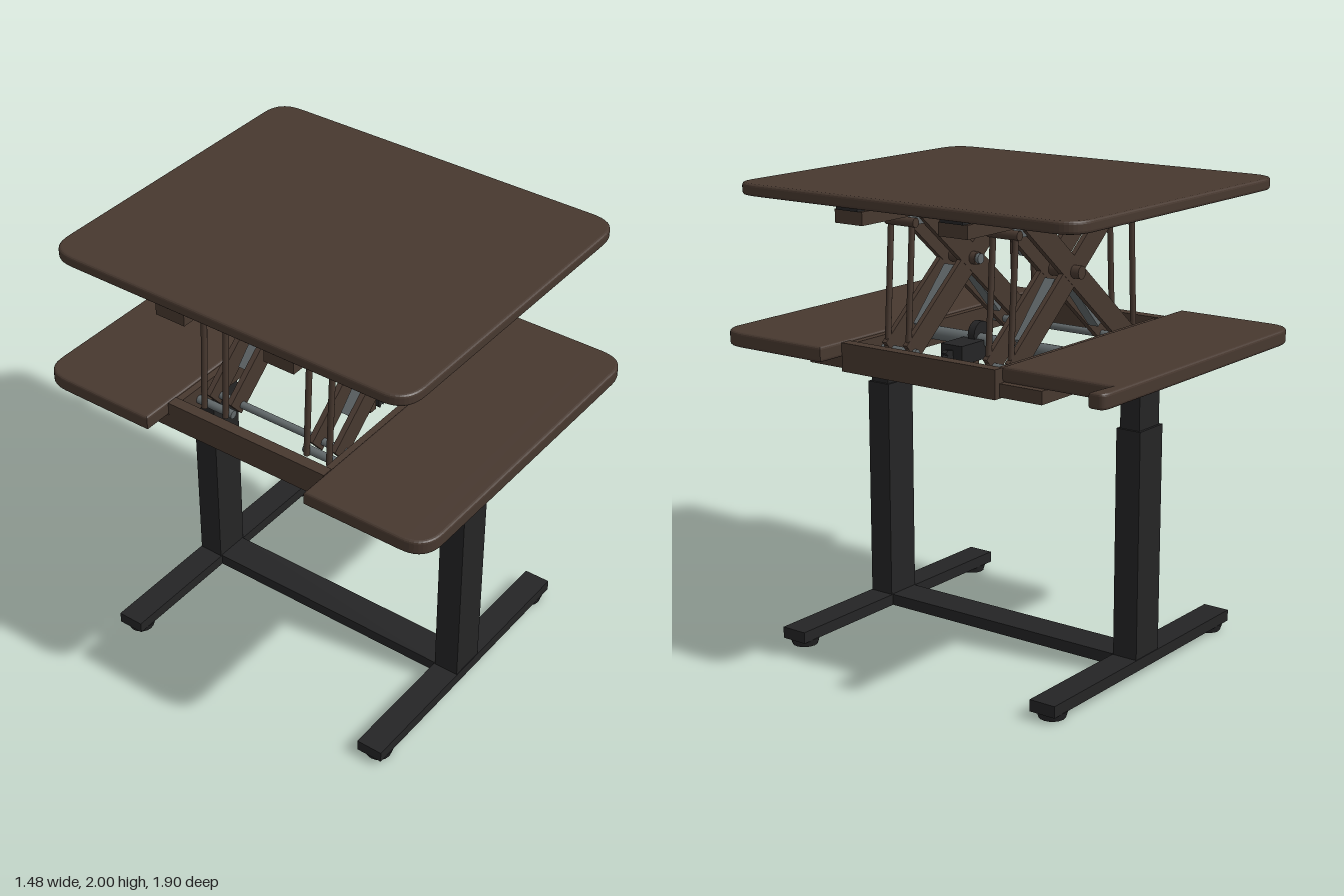
import * as THREE from 'three';

const mat = (name, color, extra = {}) => {
  const m = new THREE.MeshStandardMaterial({ color, ...extra });
  m.name = name;
  return m;
};

export function createModel() {
  const group = new THREE.Group();
  const brown = mat('brown', 0x47382f);
  const dark = mat('charcoal', 0x242425);
  const grey = mat('steelGrey', 0x61686a);

  const add = (name, geo, m, x = 0, y = 0, z = 0) => {
    const mesh = new THREE.Mesh(geo, m);
    mesh.name = name;
    mesh.position.set(x, y, z);
    group.add(mesh);
    return mesh;
  };
  // Box given by its extents
  const box = (name, m, x0, x1, y0, y1, z0, z1) =>
    add(name, new THREE.BoxGeometry(x1 - x0, y1 - y0, z1 - z0), m, (x0 + x1) / 2, (y0 + y1) / 2, (z0 + z1) / 2);
  // Cylinder between two points
  const rod = (name, m, a, b, r, r2 = r) => {
    const p = new THREE.Vector3(...a), q = new THREE.Vector3(...b);
    const mesh = add(name, new THREE.CylinderGeometry(r2, r, p.distanceTo(q), 16), m);
    mesh.position.copy(p).add(q).multiplyScalar(0.5);
    mesh.quaternion.setFromUnitVectors(new THREE.Vector3(0, 1, 0), q.sub(p).normalize());
    return mesh;
  };
  // Flat bar in the xy plane
  const bar = (name, m, x0, y0, x1, y1, width, z, depth) => {
    const mesh = add(name, new THREE.BoxGeometry(Math.hypot(x1 - x0, y1 - y0), width, depth), m,
      (x0 + x1) / 2, (y0 + y1) / 2, z);
    mesh.rotation.z = Math.atan2(y1 - y0, x1 - x0);
    return mesh;
  };
  // Horizontal slab from an outline in (x, -z), with softened edges
  const slab = (name, shape, y0, y1) => {
    const b = 0.012;
    const geo = new THREE.ExtrudeGeometry(shape, {
      depth: y1 - y0 - 2 * b, bevelThickness: b, bevelSize: b, bevelOffset: -b, bevelSegments: 3, curveSegments: 10,
    });
    geo.rotateX(-Math.PI / 2);
    return add(name, geo, brown, 0, y0 + b, 0);
  };

  // Raised worktop
  const W = 0.74, L = 0.85, r = 0.12;
  const top = new THREE.Shape();
  top.moveTo(-W + r, -L).lineTo(W - r, -L).quadraticCurveTo(W, -L, W, -L + r);
  top.lineTo(W, L - r).quadraticCurveTo(W, L, W - r, L);
  top.lineTo(-W + r, L).quadraticCurveTo(-W, L, -W, L - r);
  top.lineTo(-W, -L + r).quadraticCurveTo(-W, -L, -W + r, -L);
  slab('worktop', top, 1.95, 2);

  // Lower front board
  const front = new THREE.Shape();
  front.moveTo(-W, -0.39).lineTo(-W, -0.95 + r).quadraticCurveTo(-W, -0.95, -W + r, -0.95);
  front.lineTo(W - r, -0.95).quadraticCurveTo(W, -0.95, W, -0.95 + r).lineTo(W, -0.39).closePath();
  slab('frontBoard', front, 1.31, 1.375);

  // Lower back board, with the corner cut out behind a narrow lip
  const back = new THREE.Shape();
  back.moveTo(-W, 0.39).lineTo(0.56, 0.39).lineTo(0.56, 0.895).lineTo(0.69, 0.88);
  back.lineTo(0.69, 0.92).quadraticCurveTo(0.69, 0.95, 0.64, 0.95);
  back.lineTo(-W + r, 0.95).quadraticCurveTo(-W, 0.95, -W, 0.95 - r).closePath();
  slab('backBoard', back, 1.31, 1.375);

  // Frame around the central opening
  for (const s of [-1, 1]) {
    const x = s * 0.585, z = s * 0.375;
    box('sideRail', brown, x - 0.025, x + 0.025, 1.25, 1.37, -0.39, 0.39);
    box('crossRail', brown, -0.6, 0.6, 1.26, 1.365, z - 0.015, z + 0.015);
    box('darkBeam', dark, -0.56, -0.11, 1.25, 1.31, s * 0.49 - 0.09, s * 0.49 + 0.09);
    box('beamBracket', brown, -0.115, -0.085, 1.24, 1.31, s * 0.49 - 0.1, s * 0.49 + 0.1);
    box('brownBeam', brown, 0.2, 0.58, 1.255, 1.31, s * 0.49 - 0.1, s * 0.49 + 0.1);
    box('beamEnd', brown, -0.61, -0.56, 1.25, 1.31, s * 0.49 - 0.1, s * 0.49 + 0.1);
  }

  // Rails and plate under the worktop
  box('topPlate', brown, -0.35, 0.35, 1.935, 1.95, -0.2, 0.2);
  for (const s of [-1, 1]) {
    const z = s * 0.26;
    box('topRail', brown, -0.71, 0.7, 1.88, 1.935, z - 0.07, z + 0.07);
    box('railSpacer', dark, -0.71, 0.71, 1.935, 1.951, z - 0.055, z + 0.055);
  }

  // Scissor lifts, one on each side of the opening
  for (const s of [-1, 1]) {
    const zo = s * 0.315, zi = s * 0.205, zm = s * 0.26;
    for (const z of [zo, zi]) {
      bar('scissorArmA', brown, -0.42, 1.31, 0.29, 1.9, 0.1, z, 0.024);
      bar('scissorArmB', brown, 0.4, 1.31, -0.31, 1.9, 0.1, z, 0.022);
      rod('tieRodLeft', brown, [0.41, 1.3, z], [0.375, 1.85, z], 0.013);
      rod('tieRodRight', brown, [-0.475, 1.3, z], [-0.445, 1.85, z], 0.013);
    }
    // Steel inner struts, pivot and upper pins
    bar('innerStrut', grey, -0.27, 1.39, -0.06, 1.61, 0.05, zm, 0.05);
    bar('innerStrut', grey, 0.26, 1.39, 0.05, 1.61, 0.05, zm, 0.05);
    rod('pivotPin', brown, [-0.01, 1.65, s * 0.165], [-0.01, 1.65, s * 0.365], 0.028);
    rod('pivotCap', grey, [-0.01, 1.65, s * 0.15], [-0.01, 1.65, s * 0.165], 0.022);
    for (const x of [-0.445, 0.375]) {
      rod('upperPin', brown, [x, 1.85, s * 0.185], [x, 1.85, s * 0.335], 0.02);
      const e = Math.sign(x) * 0.28;
      bar('upperLink', grey, x, 1.85, e, 1.85, 0.03, zm, 0.1);
      rod('lowerPin', grey, [x * 1.02, 1.31, s * 0.18], [x * 1.02, 1.31, s * 0.36], 0.018);
    }
  }
  rod('crossShaft', grey, [0.06, 1.32, -0.36], [0.06, 1.32, 0.36], 0.03);
  rod('lowerShaft', grey, [-0.38, 1.31, -0.36], [-0.38, 1.31, 0.36], 0.016);
  rod('releaseKnob', grey, [0.09, 1.725, -0.19], [0.09, 1.725, -0.13], 0.016);

  // Toothed sector and its hub
  const gear = new THREE.Shape();
  gear.moveTo(0, 0);
  const teeth = 24;
  for (let i = 0; i <= teeth; i++) {
    const a = -Math.PI / 2 + (i / teeth) * Math.PI * 0.55, q = i % 2 ? 0.165 : 0.15;
    gear.lineTo(Math.cos(a) * q, Math.sin(a) * q);
  }
  gear.closePath();
  add('gearSector', new THREE.ExtrudeGeometry(gear, { depth: 0.024, bevelEnabled: false }), dark, 0.125, 1.29, 0.105);
  box('gearArm', brown, 0.065, 0.105, 1.14, 1.31, 0.105, 0.129);
  rod('gearHub', dark, [0.05, 1.345, 0.1], [0.05, 1.345, 0.134], 0.055);
  box('gearBlock', dark, 0.07, 0.24, 1.25, 1.33, 0.06, 0.17);

  // Telescopic legs, feet and pads
  for (const s of [-1, 1]) {
    const z = s * 0.655;
    box('outerColumn', dark, -0.09, 0.075, 0.07, 1.055, z - 0.057, z + 0.057);
    box('innerColumn', dark, -0.08, 0.065, 1.05, 1.315, z - 0.046, z + 0.046);
    box('foot', dark, -0.66, 0.66, 0.03, 0.08, z - 0.06, z + 0.06);
    for (const x of [-0.59, 0.59]) {
      rod('footPad', dark, [x, 0, z], [x, 0.032, z], 0.055, 0.065);
    }
  }
  box('stretcher', dark, -0.085, 0.07, 0.03, 0.08, -0.61, 0.61);

  return group;
}
